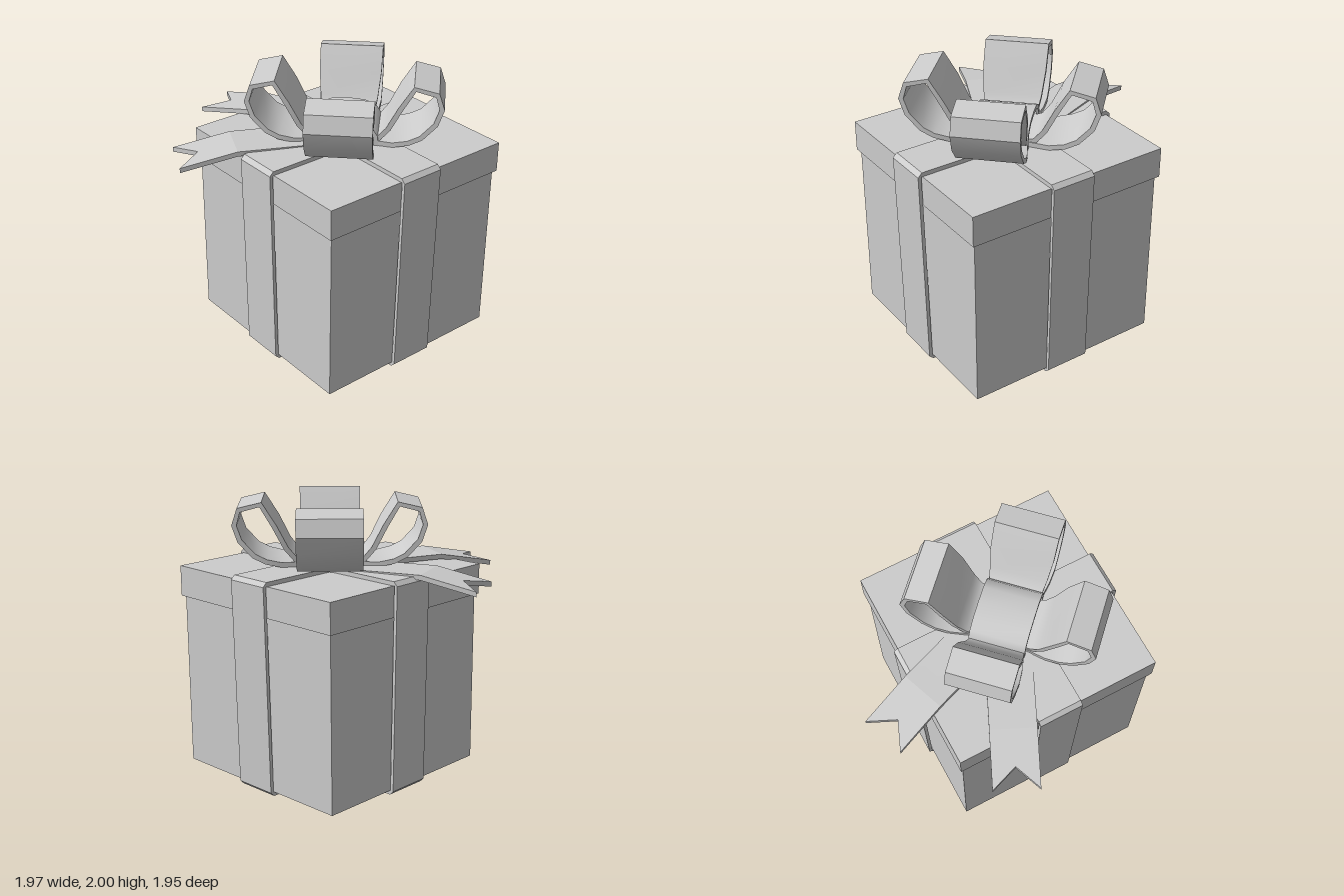
import * as THREE from 'three';
import { toCreasedNormals } from 'three/addons/utils/BufferGeometryUtils.js';

const CX = 0.2, CZ = -0.18; // centre of the box
const WIDTH = 0.325;        // ribbon width

export function createModel() {
  const model = new THREE.Group();
  model.name = 'giftBox';
  const paper = new THREE.MeshStandardMaterial({ color: 0xcccccc });
  paper.name = 'light grey';

  const gift = new THREE.Group();
  gift.name = 'gift';
  gift.position.set(CX, 0, CZ);
  model.add(gift);

  const add = (name, geometry, angle = 0) => {
    const mesh = new THREE.Mesh(geometry, paper);
    mesh.name = name;
    mesh.rotation.y = angle;
    gift.add(mesh);
    return mesh;
  };

  // Box and lid
  add('boxBody', new THREE.BoxGeometry(1.47, 1.36, 1.47).translate(0, 0.71, 0));
  add('lid', new THREE.BoxGeometry(1.514, 0.22, 1.514).translate(0, 1.4, 0));

  // Two ribbon loops wrapped around the box
  const mirrored = (half) => [...half, ...half.map(([x, y]) => [-x, y]).reverse()].map((p) => new THREE.Vector2(...p));
  const ringShape = new THREE.Shape(mirrored([[0.735, 0], [0.765, 0.03], [0.79, 1.51], [0.76, 1.54]]));
  ringShape.holes.push(new THREE.Path(mirrored([[0.74, 0.03], [0.765, 1.51]])));
  const ring = new THREE.ExtrudeGeometry(ringShape, { depth: WIDTH, bevelEnabled: false }).translate(0, 0, -WIDTH / 2);
  add('ribbonAcross', ring);
  add('ribbonFrontToBack', ring, Math.PI / 2);

  // Four bow loops on the diagonals
  const loop = bandGeometry([
    [0, 1.54, 0.18], [0.2, 1.54, 0.19], [0.34, 1.54, 0.215], [0.45, 1.565, 0.225], [0.54, 1.61, 0.225],
    [0.64, 1.72, 0.225], [0.68, 1.84, 0.225], [0.64, 1.96, 0.225], [0.47, 2.0, 0.225],
    [0.37, 1.84, 0.222], [0.29, 1.68, 0.205], [0.23, 1.605, 0.19], [0.15, 1.58, 0.18], [0, 1.575, 0.18],
  ], 0.035);
  for (let i = 0; i < 4; i++) add('bowLoop' + (i + 1), loop, Math.PI / 4 + i * Math.PI / 2);

  // Arched knot over the middle of the bow
  const knot = bandGeometry([
    [0.24, 1.54, 0.2], [0.235, 1.61, 0.2], [0.2, 1.665, 0.2], [0.12, 1.7, 0.2], [0, 1.71, 0.2],
    [-0.12, 1.7, 0.2], [-0.2, 1.665, 0.2], [-0.235, 1.61, 0.2], [-0.24, 1.54, 0.2],
  ], 0.03);
  add('knot', knot, Math.PI / 4);

  // Two tails with notched ends
  const tail = tailGeometry();
  const leftTail = add('sideTail', tail, Math.atan2(-0.94, 0.34));
  leftTail.position.z = -0.07;
  add('frontTail', tail, Math.atan2(-0.42, 0.9));

  return model;
}

// Thick strip along a path of [x, y, half width]; thickness goes to the left of the path
function bandGeometry(path, thickness) {
  const sections = path.map(([x, y, w], i) => {
    const a = path[Math.max(i - 1, 0)], b = path[Math.min(i + 1, path.length - 1)];
    const d = new THREE.Vector2(b[0] - a[0], b[1] - a[1]).normalize();
    const ix = x - d.y * thickness, iy = y + d.x * thickness;
    return [[x, y, w], [x, y, -w], [ix, iy, -w], [ix, iy, w]];
  });
  const pos = [];
  const quad = (a, b, c, d) => pos.push(...a, ...b, ...c, ...a, ...c, ...d);
  for (let i = 0; i < sections.length - 1; i++) {
    const s = sections[i], t = sections[i + 1];
    for (let k = 0; k < 4; k++) {
      const n = (k + 1) % 4;
      quad(s[k], s[n], t[n], t[k]);
    }
  }
  const first = sections[0], last = sections[sections.length - 1];
  quad(first[3], first[2], first[1], first[0]);
  quad(...last);
  const geometry = new THREE.BufferGeometry();
  geometry.setAttribute('position', new THREE.Float32BufferAttribute(pos, 3));
  return toCreasedNormals(geometry, 0.6);
}

// Flat strip along +z that bends down past the lid edge and ends in a V notch
function tailGeometry() {
  const geometry = new THREE.BoxGeometry(WIDTH, 0.035, 3, 2, 1, 3).translate(0, 0, 1.5);
  const p = geometry.attributes.position;
  const reach = [0, 0.3, 0.8, 1.2], height = [1.53, 1.53, 1.537, 1.46];
  for (let i = 0; i < p.count; i++) {
    const row = Math.round(p.getZ(i));
    const notch = row === 3 && Math.abs(p.getX(i)) < 0.01;
    p.setZ(i, notch ? 1.05 : reach[row]);
    p.setY(i, p.getY(i) + (notch ? 1.489 : height[row]));
  }
  return toCreasedNormals(geometry.toNonIndexed(), 0.1);
}
